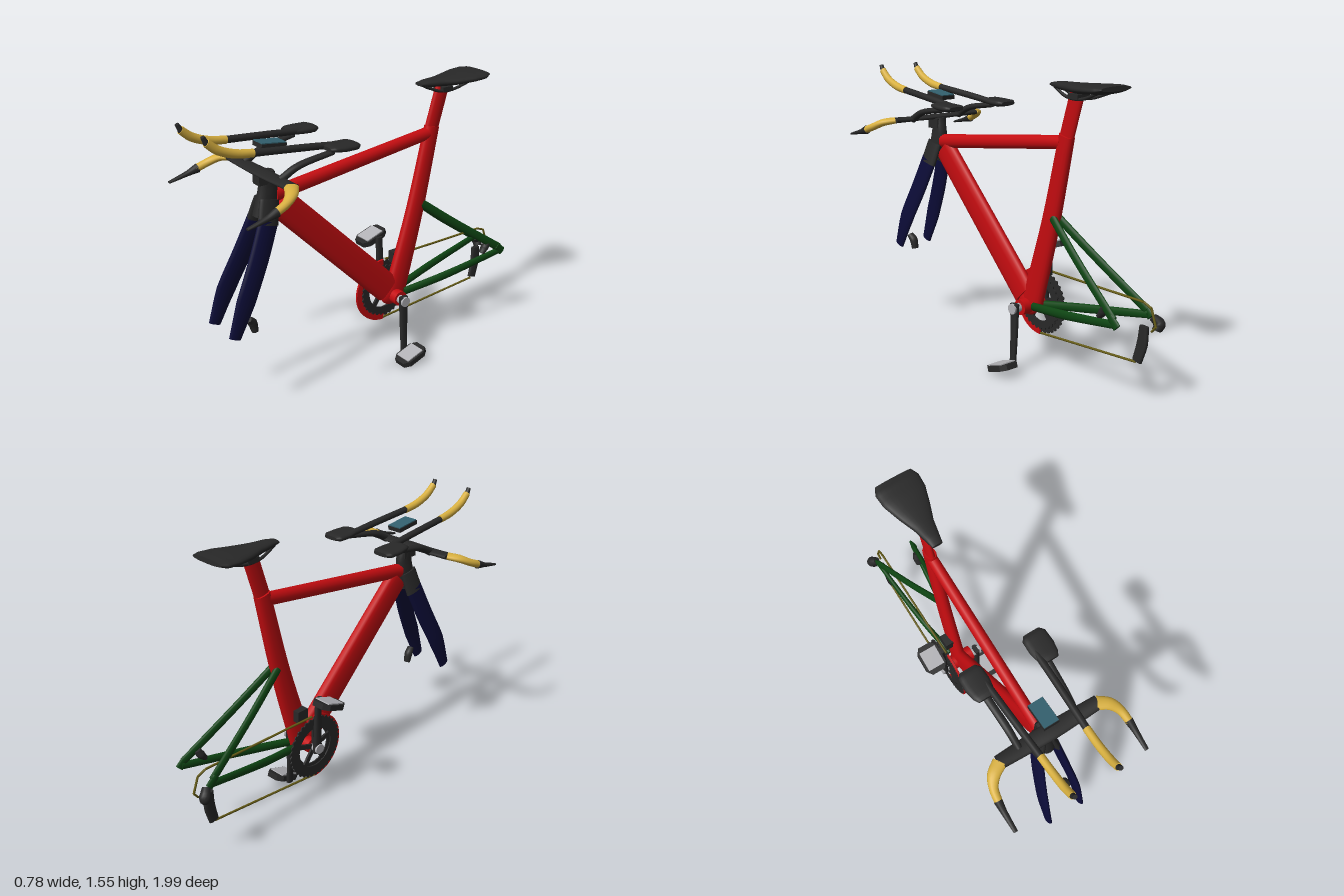
import * as THREE from 'three';

const mat = (name, color) => {
  const m = new THREE.MeshStandardMaterial({ color });
  m.name = name;
  return m;
};

export function createModel() {
  const root = new THREE.Group();
  root.name = 'timeTrialBike';
  const red = mat('frame red', 0xc40c10), dark = mat('charcoal', 0x282828), navy = mat('fork navy', 0x0c0c38);
  const green = mat('stay green', 0x0e4513), yellow = mat('tape yellow', 0xd8b040), silver = mat('silver', 0xb2b2b6);
  const teal = mat('screen teal', 0x33616f), olive = mat('chain olive', 0x665c16);

  const add = (name, geo, m, x = 0, y = 0, z = 0) => {
    const mesh = new THREE.Mesh(geo, m);
    mesh.name = name;
    mesh.position.set(x, y, z);
    root.add(mesh);
    return mesh;
  };

  // Capped tube along points [x, y, z, sideRadius, normalRadius]; power < 1 squares the section
  function sweep(name, m, pts, { axis = [1, 0, 0], steps = 12, seg = 16, power = 1 } = {}) {
    const curve = new THREE.CatmullRomCurve3(pts.map(p => new THREE.Vector3(p[0], p[1], p[2])));
    const pos = [], idx = [], A = new THREE.Vector3(...axis);
    const bend = v => Math.sign(v) * Math.abs(v) ** power;
    const ring = i => {
      const t = i / steps, c = curve.getPoint(t), T = curve.getTangent(t);
      const S = A.clone().addScaledVector(T, -A.dot(T)).normalize();
      const N = T.clone().cross(S);
      const f = t * (pts.length - 1), k = Math.min(Math.floor(f), pts.length - 2);
      const r = j => THREE.MathUtils.lerp(pts[k][j], pts[k + 1][j], f - k);
      for (let j = 0; j < seg; j++) {
        const a = j / seg * Math.PI * 2;
        const v = c.clone().addScaledVector(S, bend(Math.cos(a)) * r(3)).addScaledVector(N, bend(Math.sin(a)) * r(4));
        pos.push(v.x, v.y, v.z);
      }
      return c;
    };
    for (let i = 0; i <= steps; i++) ring(i);
    for (let i = 0; i < steps; i++) for (let j = 0; j < seg; j++) {
      const a = i * seg + j, b = i * seg + (j + 1) % seg;
      idx.push(a, b, b + seg, a, b + seg, a + seg);
    }
    for (const i of [0, steps]) {
      const base = pos.length / 3, c = ring(i);
      pos.push(c.x, c.y, c.z);
      for (let j = 0; j < seg; j++) {
        const a = base + j, b = base + (j + 1) % seg;
        if (i) idx.push(base + seg, a, b); else idx.push(base + seg, b, a);
      }
    }
    const g = new THREE.BufferGeometry();
    g.setAttribute('position', new THREE.Float32BufferAttribute(pos, 3));
    g.setIndex(idx);
    g.computeVertexNormals();
    return add(name, g, m);
  }
  const both = (name, m, pts, opt) => [1, -1].forEach(s =>
    sweep((s > 0 ? 'left ' : 'right ') + name, m, pts.map(p => [p[0] * s, ...p.slice(1)]), opt));
  const cylX = (name, m, r, len, x, y, z) =>
    add(name, new THREE.CylinderGeometry(r, r, len, 24).rotateZ(Math.PI / 2), m, x, y, z);
  const plateX = (name, shape, depth, m, x, y, z) => add(name,
    new THREE.ExtrudeGeometry(shape, { depth, bevelEnabled: false, curveSegments: 32 }).rotateY(-Math.PI / 2), m, x, y, z);

  // Main frame
  sweep('top tube', red, [[0, 1.13, 0.56, 0.032, 0.04], [0, 1.25, -0.42, 0.03, 0.035]]);
  sweep('down tube', red, [[0, 1.09, 0.54, 0.033, 0.075], [0, 0.4, -0.15, 0.033, 0.082]], { power: 0.75 });
  sweep('seat tube', red, [[0, 0.36, -0.205, 0.033, 0.07], [0, 0.82, -0.34, 0.032, 0.056], [0, 1.285, -0.45, 0.03, 0.046]], { power: 0.85 });
  sweep('seat post', red, [[0, 1.25, -0.44, 0.02, 0.046], [0, 1.49, -0.515, 0.02, 0.046]]);
  cylX('bottom bracket', red, 0.042, 0.15, 0, 0.35, -0.19);
  add('bracket shell', new THREE.SphereGeometry(0.066, 20, 14).scale(0.5, 1, 1.1), red, 0, 0.36, -0.18);

  // Rear stays, dropouts and brake
  both('chain stay', green, [[0.03, 0.36, -0.25, 0.018, 0.022], [0.075, 0.4, -0.52, 0.015, 0.024], [0.115, 0.465, -0.91, 0.012, 0.02]]);
  both('seat stay', green, [[0.018, 0.86, -0.375, 0.015, 0.024], [0.06, 0.7, -0.59, 0.014, 0.024], [0.115, 0.485, -0.9, 0.012, 0.024]]);
  both('dropout', green, [[0.118, 0.5, -0.88, 0.01, 0.02], [0.118, 0.455, -0.925, 0.01, 0.025]]);
  sweep('rear brake', dark, [[0.095, 0.53, -0.825, 0.02, 0.018], [0.09, 0.5, -0.81, 0.025, 0.022], [0.09, 0.47, -0.785, 0.02, 0.015]]);

  // Head tube, stem and fork
  sweep('head tube', dark, [[0, 1.26, 0.6, 0.03, 0.035], [0, 1.18, 0.595, 0.032, 0.05], [0, 1.03, 0.625, 0.042, 0.058]], { power: 0.8 });
  add('stem', new THREE.BoxGeometry(0.06, 0.06, 0.09), dark, 0, 1.23, 0.615);
  both('fork crown', dark, [[0.025, 1.12, 0.605, 0.022, 0.055], [0.053, 1.0, 0.635, 0.021, 0.06]]);
  both('fork leg', navy, [[0.05, 1.02, 0.63, 0.02, 0.058], [0.074, 0.84, 0.71, 0.02, 0.058],
    [0.096, 0.65, 0.805, 0.018, 0.056], [0.1, 0.475, 0.88, 0.014, 0.034]]);
  sweep('front brake', dark, [[0.085, 0.55, 0.79, 0.02, 0.015], [0.078, 0.52, 0.765, 0.024, 0.024], [0.078, 0.47, 0.752, 0.02, 0.018]]);

  // Base bar, taped grips and levers
  const up = { axis: [0, 1, 0] };
  sweep('base bar', dark, [[-0.28, 1.265, 0.635, 0.016, 0.036], [-0.13, 1.262, 0.635, 0.012, 0.042], [0, 1.262, 0.635, 0.014, 0.046],
    [0.13, 1.262, 0.635, 0.012, 0.042], [0.28, 1.265, 0.635, 0.016, 0.036]], up);
  both('bar grip', yellow, [[0.27, 1.265, 0.635, 0.017, 0.036], [0.325, 1.255, 0.67, 0.02, 0.032],
    [0.357, 1.23, 0.72, 0.02, 0.023], [0.368, 1.205, 0.785, 0.02, 0.02]], up);
  both('brake lever', dark, [[0.368, 1.207, 0.775, 0.022, 0.024], [0.37, 1.19, 0.83, 0.016, 0.014], [0.37, 1.165, 0.935, 0.011, 0.006]]);

  // Aero extensions, arm pads and supports
  both('extension', dark, [[0.142, 1.36, 0.24, 0.018, 0.016], [0.135, 1.385, 0.47, 0.018, 0.018], [0.124, 1.412, 0.75, 0.018, 0.018]]);
  both('extension grip', yellow, [[0.124, 1.411, 0.74, 0.02, 0.02], [0.122, 1.425, 0.83, 0.02, 0.022],
    [0.121, 1.46, 0.92, 0.02, 0.022], [0.12, 1.505, 0.975, 0.018, 0.02]]);
  both('extension tip', dark, [[0.12, 1.5, 0.972, 0.016, 0.016], [0.12, 1.535, 0.99, 0.012, 0.01]]);
  both('arm pad', dark, [[0.178, 1.364, 0.2, 0.045, 0.01], [0.178, 1.364, 0.225, 0.064, 0.018], [0.178, 1.366, 0.29, 0.066, 0.018],
    [0.178, 1.37, 0.345, 0.056, 0.016], [0.178, 1.37, 0.37, 0.042, 0.01]], { power: 0.7 });
  both('pad support', dark, [[0.16, 1.262, 0.625, 0.018, 0.02], [0.163, 1.31, 0.53, 0.02, 0.017], [0.172, 1.345, 0.33, 0.02, 0.014]]);

  // Handlebar computer
  const device = new THREE.Group();
  device.name = 'bike computer';
  device.position.set(0, 1.39, 0.575);
  device.rotation.x = -0.13;
  const body = new THREE.Mesh(new THREE.BoxGeometry(0.084, 0.022, 0.14), dark);
  const screen = new THREE.Mesh(new THREE.BoxGeometry(0.08, 0.006, 0.136), teal);
  body.name = 'computer body';
  screen.name = 'computer screen';
  screen.position.y = 0.013;
  device.add(body, screen);
  root.add(device);

  // Saddle and rails
  sweep('saddle', dark, [[0, 1.54, -0.77, 0.1, 0.012], [0, 1.534, -0.73, 0.12, 0.022], [0, 1.53, -0.66, 0.116, 0.024], [0, 1.525, -0.57, 0.088, 0.025],
    [0, 1.525, -0.48, 0.055, 0.023], [0, 1.528, -0.4, 0.038, 0.019], [0, 1.53, -0.352, 0.028, 0.009]], { steps: 24, seg: 24, power: 0.85 });
  both('saddle rail', dark, [[0.02, 1.52, -0.38, 0.008, 0.008], [0.028, 1.48, -0.47, 0.008, 0.008],
    [0.03, 1.475, -0.57, 0.008, 0.008], [0.05, 1.52, -0.71, 0.008, 0.008]]);
  add('saddle clamp', new THREE.BoxGeometry(0.08, 0.025, 0.07), dark, 0, 1.485, -0.525);

  // Chainrings with teeth and a five-armed spider
  const BY = 0.35, BZ = -0.185;
  const gear = (outer, inner, n) => {
    const s = new THREE.Shape();
    for (let i = 0; i < n * 4; i++) {
      const a = i / (n * 4) * Math.PI * 2, r = i % 4 < 2 ? outer : outer - 0.009;
      s[i ? 'lineTo' : 'moveTo'](r * Math.cos(a), r * Math.sin(a));
    }
    s.closePath();
    s.holes.push(new THREE.Path().absarc(0, 0, inner, 0, Math.PI * 2, true));
    return s;
  };
  plateX('large chainring', gear(0.18, 0.115, 36), 0.007, dark, -0.083, BY, BZ);
  plateX('small chainring', gear(0.155, 0.105, 30), 0.007, dark, -0.066, BY, BZ);
  const arc = new THREE.Shape().absarc(0, 0, 0.187, -Math.PI / 2, Math.PI / 2, false);
  arc.absarc(0, 0, 0.15, Math.PI / 2, -Math.PI / 2, true);
  plateX('chain guard', arc, 0.012, red, -0.073, BY, BZ);
  for (let i = 0; i < 5; i++) {
    const arm = add('spider arm', new THREE.BoxGeometry(0.012, 0.13, 0.026).translate(0, 0.065, 0), dark, -0.08, BY, BZ);
    arm.rotation.x = i * Math.PI * 0.4;
  }

  // Cranks and pedals, half a turn apart
  for (const s of [1, -1]) {
    const side = s > 0 ? 'left ' : 'right ', py = s > 0 ? 0.045 : 0.645;
    cylX(side + 'axle', silver, 0.024, 0.05, s * 0.095, BY, BZ);
    cylX(side + 'crank cap', silver, 0.028, 0.012, s * 0.122, BY, BZ);
    sweep(side + 'crank', dark, [[s * 0.105, BY + s * 0.025, BZ, 0.017, 0.028], [s * 0.109, BY - s * 0.15, BZ, 0.014, 0.023],
      [s * 0.118, py - s * 0.015, BZ, 0.012, 0.02]], { power: 0.75 });
    const pedal = new THREE.Group();
    pedal.name = side + 'pedal';
    pedal.position.set(s * 0.184, py, -0.178);
    pedal.rotation.x = 0.32;
    const o = new THREE.Shape([[-0.06, -0.05], [-0.035, -0.083], [0.035, -0.083], [0.06, -0.05],
      [0.06, 0.05], [0.035, 0.083], [-0.035, 0.083], [-0.06, 0.05]].map(p => new THREE.Vector2(...p)));
    const base = new THREE.Mesh(new THREE.ExtrudeGeometry(o, { depth: 0.03, bevelEnabled: false }).rotateX(-Math.PI / 2).translate(0, -0.015, 0), dark);
    base.name = 'pedal body';
    const face = new THREE.Mesh(new THREE.BoxGeometry(0.096, 0.006, 0.11), silver);
    face.name = 'pedal face';
    face.position.y = 0.018;
    pedal.add(base, face);
    root.add(pedal);
  }

  // Chain runs
  const run = (name, pts) => {
    for (let i = 0; i < pts.length - 1; i++)
      sweep(name, olive, [pts[i], pts[i + 1]].map(p => [-0.08, ...p, 0.006, 0.006]), { steps: 1, seg: 6 });
  };
  run('upper chain', [[0.535, -0.2], [0.535, -0.91], [0.515, -0.96], [0.43, -0.99], [0.4, -0.965]]);
  run('lower chain', [[0.168, -0.17], [0.218, -0.87]]);

  // Gear changers
  sweep('rear changer', dark, [[-0.115, 0.46, -0.94, 0.02, 0.02], [-0.135, 0.425, -0.965, 0.03, 0.03], [-0.12, 0.395, -0.96, 0.025, 0.022]]);
  sweep('changer cage', dark, [[-0.09, 0.41, -0.91, 0.014, 0.026], [-0.085, 0.32, -0.905, 0.012, 0.032], [-0.08, 0.225, -0.88, 0.012, 0.028]], { power: 0.7 });
  add('front changer', new THREE.BoxGeometry(0.045, 0.065, 0.07), dark, -0.045, 0.555, -0.25);

  return root;
}
